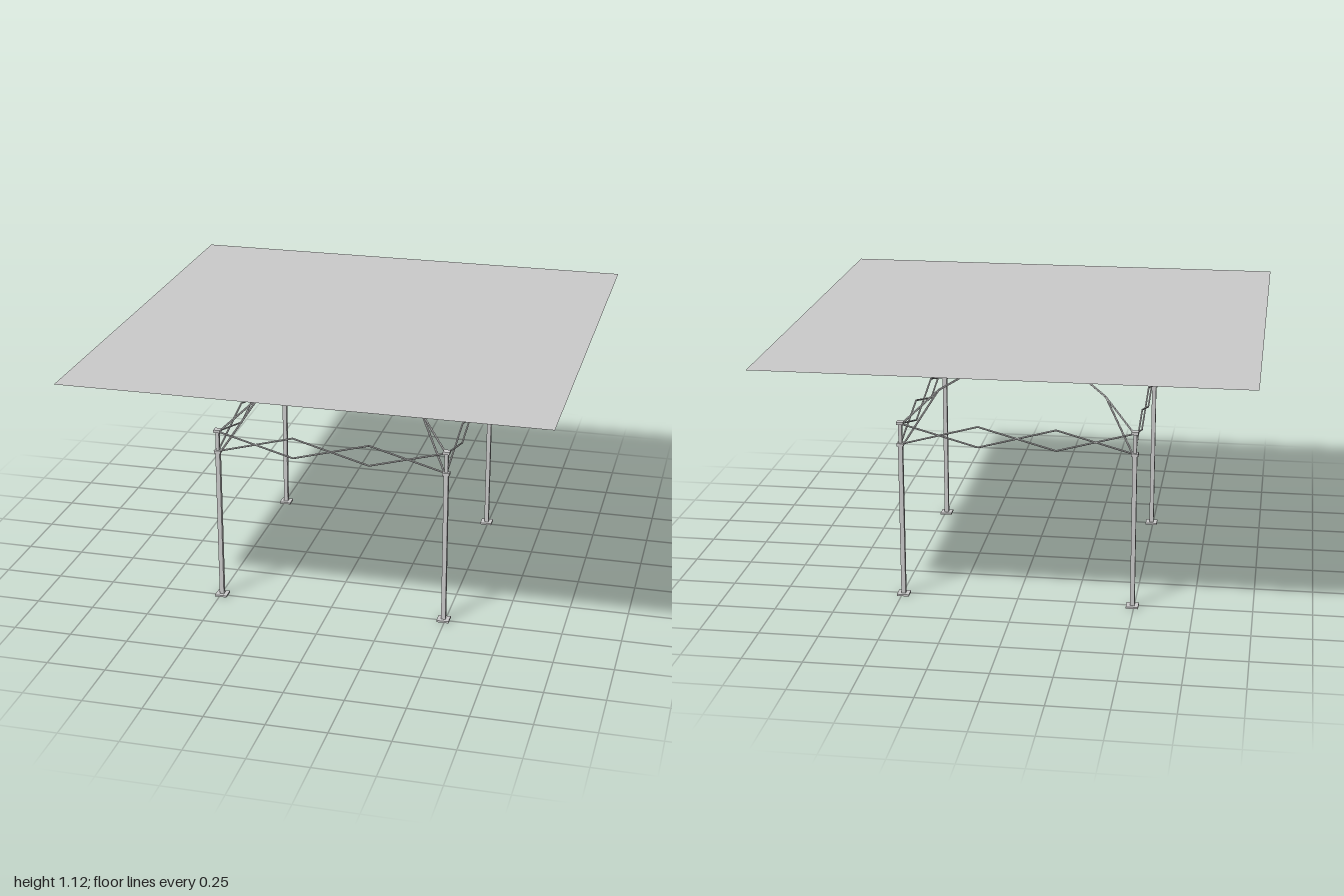
import * as THREE from 'three';

const mat = new THREE.MeshStandardMaterial({ color: 0xcccccc, flatShading: true });
const sheetMat = new THREE.MeshStandardMaterial({ color: 0xcccccc, side: THREE.DoubleSide });
const HX = 0.493, HZ = 0.506;          // half spacing of the legs
const LOW = 0.68, HIGH = 0.77;         // lower slider and upper bracket heights

function add(parent, name, geometry, x = 0, y = 0, z = 0) {
  const mesh = new THREE.Mesh(geometry, mat);
  mesh.name = name;
  mesh.position.set(x, y, z);
  parent.add(mesh);
  return mesh;
}

// Thin straight rod between two points
function rod(parent, name, a, b, r = 0.0038) {
  const dir = b.clone().sub(a);
  const mesh = add(parent, name, new THREE.CylinderGeometry(r, r, dir.length(), 6));
  mesh.position.copy(a).lerp(b, 0.5);
  mesh.quaternion.setFromUnitVectors(new THREE.Vector3(0, 1, 0), dir.normalize());
}

// Leg with foot plate, sliding collar and top bracket
function leg(x, z) {
  const g = new THREE.Group();
  g.name = 'leg';
  add(g, 'footPlate', new THREE.BoxGeometry(0.052, 0.008, 0.052), 0, 0.004, 0);
  add(g, 'outerTube', new THREE.BoxGeometry(0.019, 0.672, 0.019), 0, 0.344, 0);
  add(g, 'innerTube', new THREE.BoxGeometry(0.015, 0.1, 0.015), 0, 0.725, 0);
  add(g, 'slider', new THREE.BoxGeometry(0.029, 0.012, 0.029), 0, LOW, 0);
  add(g, 'topBracket', new THREE.BoxGeometry(0.029, 0.012, 0.029), 0, HIGH + 0.004, 0);
  g.position.set(x, 0, z);
  return g;
}

// Three crossed pairs of rods between two neighbouring legs
function scissorTruss(ax, az, bx, bz) {
  const g = new THREE.Group();
  g.name = 'scissorTruss';
  const point = (i, y) => new THREE.Vector3(
    THREE.MathUtils.lerp(ax, bx, i / 3), y, THREE.MathUtils.lerp(az, bz, i / 3));
  for (let i = 0; i < 3; i++) {
    rod(g, 'scissorBar', point(i, HIGH), point(i + 1, LOW));
    rod(g, 'scissorBar', point(i, LOW), point(i + 1, HIGH));
  }
  return g;
}

// Bent roof rib running diagonally to the peak, with its brace
function roofRib(sx, sz) {
  const g = new THREE.Group();
  g.name = 'roofRib';
  const profile = [[0.985, HIGH], [0.72, 0.88], [0.5, 0.927], [0.18, 0.962], [0, 0.966]];
  const at = (t, y) => new THREE.Vector3(sx * HX * t, y, sz * HZ * t);
  for (let i = 0; i < profile.length - 1; i++) {
    rod(g, 'ribBar', at(...profile[i]), at(...profile[i + 1]), 0.0045);
  }
  rod(g, 'brace', at(0.975, LOW), at(0.72, 0.88), 0.0045);
  return g;
}

export function createModel() {
  const model = new THREE.Group();
  model.name = 'canopyTent';

  const frame = new THREE.Group();
  frame.name = 'frame';
  frame.position.z = -0.009;
  model.add(frame);

  for (const s of [-1, 1]) {
    for (const t of [-1, 1]) frame.add(leg(s * HX, t * HZ), roofRib(s, t));
    frame.add(scissorTruss(-HX, s * HZ, HX, s * HZ));
    frame.add(scissorTruss(s * HX, -HZ, s * HX, HZ));
  }
  add(frame, 'peakHub', new THREE.CylinderGeometry(0.014, 0.014, 0.008, 8), 0, 0.966, 0);

  // Flat square sheet above the frame
  const sheet = new THREE.Mesh(new THREE.PlaneGeometry(2, 2), sheetMat);
  sheet.name = 'canopySheet';
  sheet.rotation.x = -Math.PI / 2;
  sheet.position.y = 1.12;
  model.add(sheet);
  return model;
}
